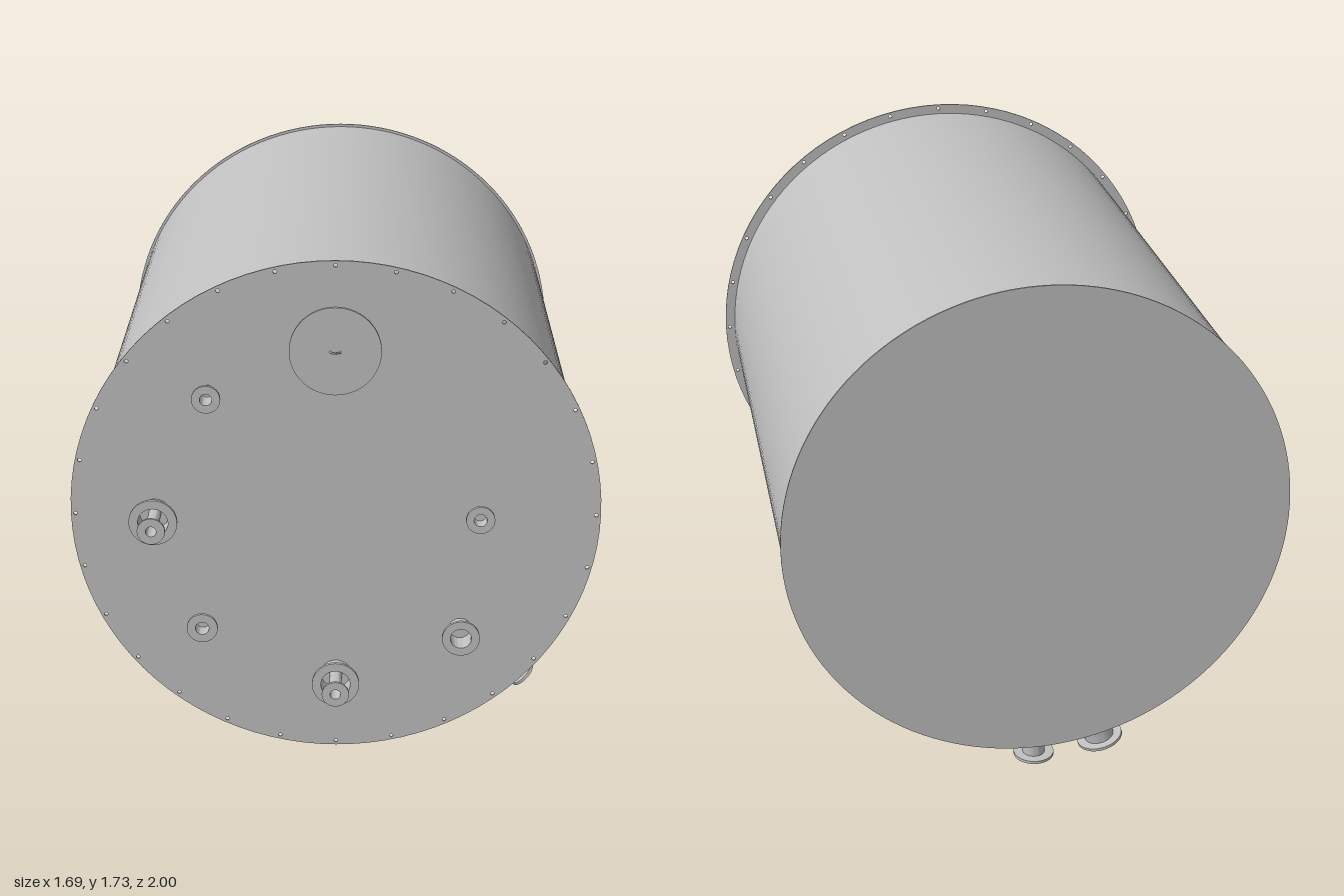
import * as THREE from 'three';
import { toCreasedNormals } from 'three/addons/utils/BufferGeometryUtils.js';

const steel = new THREE.MeshStandardMaterial({ color: 0xc0c0c0 });
steel.name = 'steel grey';

const AXIS_Y = 0.885; // height of the tank's axis
const SHELL_R = 0.81;
const FRONT_Z = 0.862;
const BACK_Z = -0.988;
const FORWARD = new THREE.Vector3(0, 0, 1);

function part(name, geometry, parent) {
  const mesh = new THREE.Mesh(geometry, steel);
  mesh.name = name;
  parent.add(mesh);
  return mesh;
}

// Hollow flanged pipe rising along +y from the origin
function nozzleGeometry({ pipe, bore, flange, length, thick = 0.01 }) {
  const profile = [
    [bore, 0], [pipe, 0], [pipe, length - thick], [flange, length - thick],
    [flange, length], [bore, length], [bore, 0],
  ].map(([r, y]) => new THREE.Vector2(r, y));
  return toCreasedNormals(new THREE.LatheGeometry(profile, 40), 0.6);
}

function addNozzle(name, parent, position, direction, size) {
  const mesh = part(name, nozzleGeometry(size), parent);
  mesh.position.copy(position);
  mesh.quaternion.setFromUnitVectors(new THREE.Vector3(0, 1, 0), direction);
  return mesh;
}

// Round plate with a ring of bolt holes
function boltedPlate(radius, thick, holes) {
  const shape = new THREE.Shape().absarc(0, 0, radius, 0, Math.PI * 2, false);
  for (let i = 0; i < holes; i++) {
    const a = Math.PI / 2 + (i / holes) * Math.PI * 2;
    const hole = new THREE.Path();
    hole.absarc(0.83 * Math.cos(a), 0.83 * Math.sin(a), 0.006, 0, Math.PI * 2, true);
    shape.holes.push(hole);
  }
  return new THREE.ExtrudeGeometry(shape, { depth: thick, bevelEnabled: false, curveSegments: 48 });
}

export function createModel() {
  const model = new THREE.Group();
  model.name = 'tank';

  // Shell and end plates
  const length = FRONT_Z - BACK_Z - 0.006;
  const shell = part('shell',
    new THREE.CylinderGeometry(SHELL_R, SHELL_R, length, 128, 1, true).rotateX(Math.PI / 2), model);
  shell.position.set(0, AXIS_Y, (FRONT_Z + BACK_Z) / 2);

  const front = part('frontPlate', boltedPlate(0.845, 0.006, 28), model);
  front.position.set(0, AXIS_Y, FRONT_Z - 0.006);

  const back = part('backPlate',
    new THREE.CylinderGeometry(0.82, 0.82, 0.006, 128).rotateX(Math.PI / 2), model);
  back.position.set(0, AXIS_Y, BACK_Z + 0.003);

  // Manhole with cover and handle
  const manhole = new THREE.Group();
  manhole.name = 'manhole';
  manhole.position.set(0, 1.462, FRONT_Z);
  model.add(manhole);
  part('manholeNeck',
    new THREE.CylinderGeometry(0.12, 0.12, 0.064, 64).rotateX(Math.PI / 2), manhole).position.z = 0.032;
  part('manholeCover',
    new THREE.CylinderGeometry(0.142, 0.142, 0.01, 64).rotateX(Math.PI / 2), manhole).position.z = 0.067;
  part('manholeHandle',
    new THREE.TorusGeometry(0.016, 0.003, 8, 20, Math.PI).rotateX(Math.PI / 2), manhole).position.z = 0.071;

  // Plain nozzles on the front plate: x, y, pipe, bore, flange, length
  const plain = [
    ['upperNozzle', -0.4, 1.303, 0.022, 0.019, 0.045, 0.072],
    ['sideNozzle', 0.46, 0.885, 0.024, 0.021, 0.046, 0.044],
    ['lowerSmallNozzle', -0.432, 0.5, 0.025, 0.022, 0.05, 0.05],
    ['lowerWideNozzle', 0.405, 0.478, 0.037, 0.034, 0.061, 0.072],
  ];
  for (const [name, x, y, pipe, bore, flange, len] of plain) {
    addNozzle(name, model, new THREE.Vector3(x, y, FRONT_Z), FORWARD,
      { pipe, bore, flange, length: len });
  }

  // Double nozzles: a slim pipe running out through a wide one
  for (const [name, x, y] of [['middleDoubleNozzle', -0.577, 0.885], ['bottomDoubleNozzle', 0, 0.308]]) {
    const base = new THREE.Vector3(x, y, FRONT_Z);
    addNozzle(name + 'Outer', model, base, FORWARD,
      { pipe: 0.051, bore: 0.048, flange: 0.077, length: 0.072 });
    addNozzle(name + 'Inner', model, base, FORWARD,
      { pipe: 0.02, bore: 0.017, flange: 0.044, length: 0.138, thick: 0.008 });
  }

  // Nozzles standing on the underside of the shell: angle from straight down, z, reach from axis
  const radial = [
    ['drainNozzle', 0, -0.925, 0.885, { pipe: 0.037, bore: 0.033, flange: 0.067 }],
    ['tiltedDrainNozzle', -15, -0.923, 0.882, { pipe: 0.049, bore: 0.045, flange: 0.077 }],
    ['frontSideNozzle', 45, 0.775, 0.882, { pipe: 0.024, bore: 0.02, flange: 0.046 }],
    ['rearSideNozzle', -45, -0.48, 0.892, { pipe: 0.009, bore: 0.006, flange: 0.037, thick: 0.006 }],
  ];
  for (const [name, degrees, z, reach, size] of radial) {
    const a = THREE.MathUtils.degToRad(degrees);
    const direction = new THREE.Vector3(Math.sin(a), -Math.cos(a), 0);
    const start = SHELL_R - 0.006;
    const position = direction.clone().multiplyScalar(start).add(new THREE.Vector3(0, AXIS_Y, z));
    addNozzle(name, model, position, direction, { ...size, length: reach - start });
  }

  return model;
}
